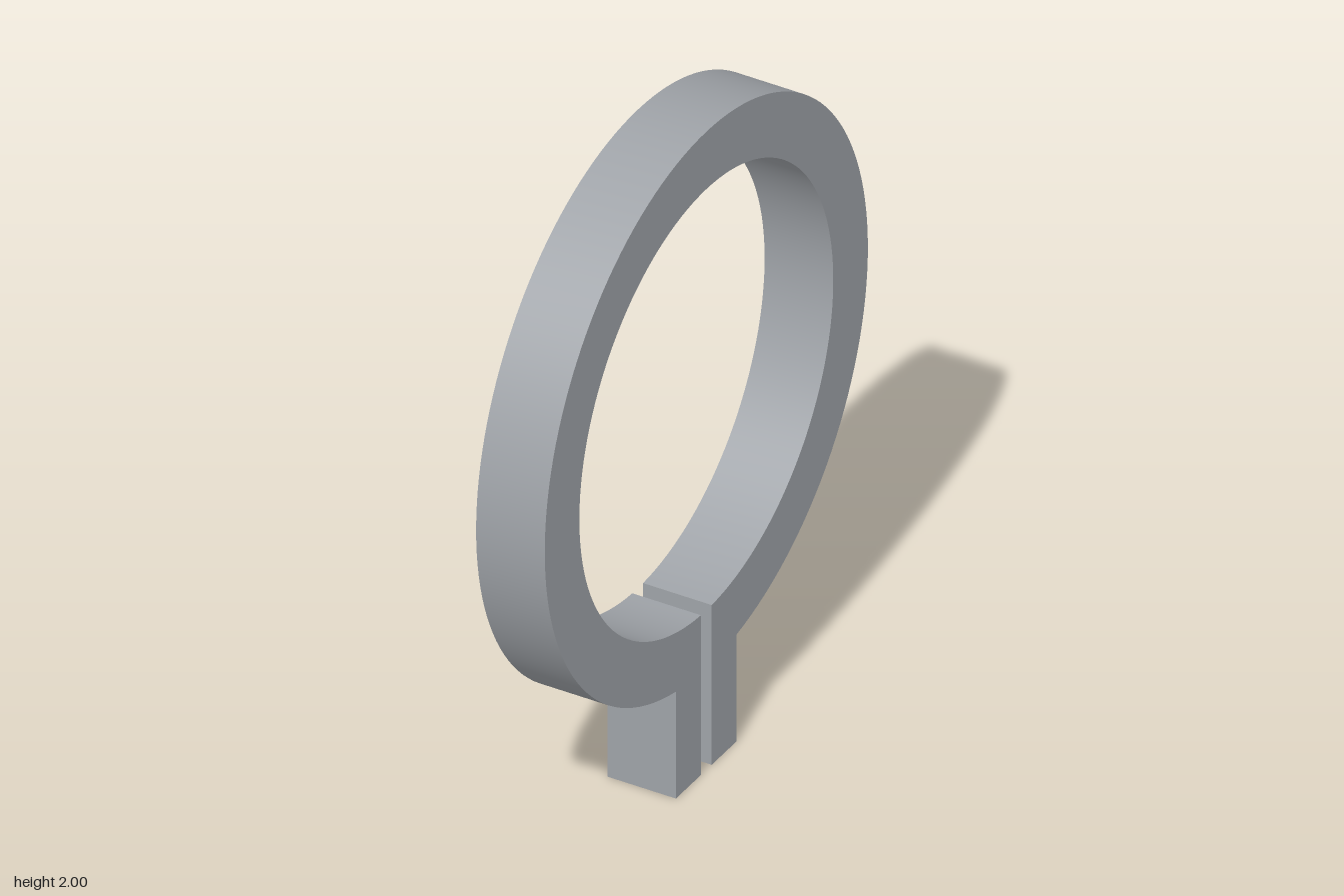
import * as THREE from 'three';
import { toCreasedNormals } from 'three/addons/utils/BufferGeometryUtils.js';

export function createModel() {
  const group = new THREE.Group();
  group.name = 'splitRingClamp';
  const steel = new THREE.MeshStandardMaterial({ color: 0x9fa3a8 });
  steel.name = 'steel grey';

  const outerR = 0.84, innerR = 0.66, centreY = 1.16;
  const gap = 0.028, tabEdge = 0.158, width = 0.208; // gap and tabEdge are half widths
  const outerA = Math.asin(tabEdge / outerR);
  const innerA = Math.asin(gap / innerR);
  const down = -Math.PI / 2, turn = Math.PI * 2;

  // One outline: tab, outer arc, other tab, inner arc back to the slot
  const outline = new THREE.Shape();
  outline.moveTo(gap, 0);
  outline.lineTo(tabEdge, 0);
  outline.absarc(0, centreY, outerR, down + outerA, down + turn - outerA, false);
  outline.lineTo(-tabEdge, 0);
  outline.lineTo(-gap, 0);
  outline.absarc(0, centreY, innerR, down + turn - innerA, down + innerA, true);
  outline.closePath();

  // Extrude across the width, then turn the ring to lie in the y-z plane
  const solid = new THREE.ExtrudeGeometry(outline, { depth: width, bevelEnabled: false, curveSegments: 64 });
  solid.translate(0, 0, -width / 2);
  solid.rotateY(-Math.PI / 2);

  const ring = new THREE.Mesh(toCreasedNormals(solid, 0.5), steel);
  ring.name = 'clampRing';
  group.add(ring);
  return group;
}
